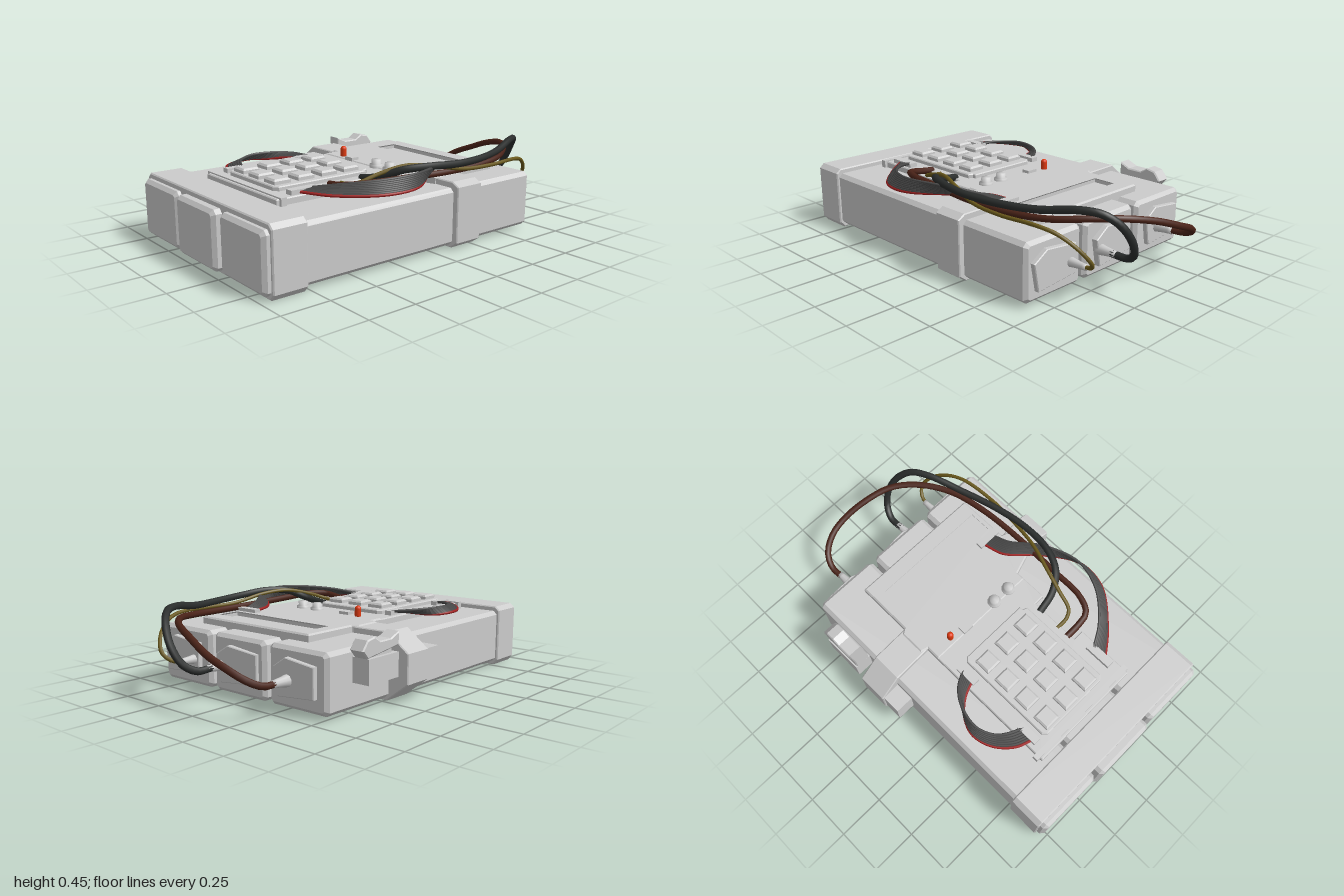
import * as THREE from 'three';

const GREY = 0xcccccc;
const mats = new Map();
function mat(color = GREY) {
  if (!mats.has(color)) {
    const m = new THREE.MeshStandardMaterial({ color, side: THREE.DoubleSide });
    mats.set(color, m);
  }
  return mats.get(color);
}

function add(parent, name, geo, color) {
  const m = new THREE.Mesh(geo, mat(color));
  m.name = name;
  parent.add(m);
  return m;
}

// Plain box given by its limits on each axis
function box(parent, name, [x0, x1], [y0, y1], [z0, z1], color) {
  const m = add(parent, name, new THREE.BoxGeometry(x1 - x0, y1 - y0, z1 - z0), color);
  m.position.set((x0 + x1) / 2, (y0 + y1) / 2, (z0 + z1) / 2);
  return m;
}

const polygon = pts => new THREE.Shape(pts.map(p => new THREE.Vector2(...p)));
const rect = (x0, x1, y0, y1) => [[x0, y0], [x1, y0], [x1, y1], [x0, y1]];

// Outline in x/y extruded along z with a single chamfer of size c
function prism(parent, name, pts, [z0, z1], c = 0) {
  const geo = new THREE.ExtrudeGeometry(polygon(pts), {
    depth: z1 - z0 - 2 * c, bevelEnabled: c > 0, bevelSize: c, bevelThickness: c,
    bevelOffset: -c, bevelSegments: 1
  });
  geo.translate(0, 0, z0 + c);
  return add(parent, name, geo);
}

// Outline in x/z extruded upward from y0 to y1, with optional holes
function slab(parent, name, pts, [y0, y1], c = 0, holes = []) {
  const shape = polygon(pts.map(([x, z]) => [x, -z]));
  holes.forEach(h => shape.holes.push(polygon(h.map(([x, z]) => [x, -z]))));
  const geo = new THREE.ExtrudeGeometry(shape, {
    depth: y1 - y0 - c, bevelEnabled: c > 0, bevelSize: c, bevelThickness: c,
    bevelOffset: -c, bevelSegments: 1
  });
  geo.rotateX(-Math.PI / 2).translate(0, y0, 0);
  return add(parent, name, geo);
}

const curve = pts => new THREE.CatmullRomCurve3(pts.map(p => new THREE.Vector3(...p)));

function wire(parent, name, pts, r, color) {
  return add(parent, name, new THREE.TubeGeometry(curve(pts), 64, r, 8), color);
}

// Flat cable: strands spread evenly between two edge paths, the first one red
function ribbon(parent, name, edgeA, edgeB, count) {
  const g = new THREE.Group();
  g.name = name;
  for (let i = 0; i < count; i++) {
    const t = i / (count - 1);
    const pts = edgeA.map((a, k) => a.map((v, j) => v + (edgeB[k][j] - v) * t));
    wire(g, 'ribbonStrand', pts, 0.0075, i === 0 ? 0xa02020 : 0x484848);
  }
  parent.add(g);
}

export function createModel() {
  const model = new THREE.Group();
  model.name = 'wiredKeypadDevice';

  // Three long chamfered blocks
  const blocks = [[-0.53, -0.165, 0.985], [-0.14, 0.22, 1.0], [0.245, 0.61, 0.985]];
  for (const [x0, x1, front] of blocks) {
    const c = 0.02, y0 = 0.02, y1 = 0.312;
    prism(model, 'block', [[x0 + c, y0], [x1 - c, y0], [x1, y0 + c], [x1, y1 - c],
      [x1 - c, y1], [x0 + c, y1], [x0, y1 - c], [x0, y0 + c]], [-0.68, front], 0.018);
  }

  // Straps around the blocks; the rear one bulges on the right and runs askew
  prism(model, 'frontStrap', [[-0.52, 0], [0.6, 0], [0.625, 0.03], [0.625, 0.315],
    [0.6, 0.338], [-0.52, 0.338], [-0.545, 0.315], [-0.545, 0.03]], [0.77, 0.95], 0.006);
  const rear = prism(model, 'rearStrap', [[-0.52, 0.005], [0.6, 0.005], [0.64, 0.035],
    [0.64, 0.32], [0.6, 0.343], [-0.52, 0.343], [-0.64, 0.25], [-0.64, 0.1]], [-0.255, -0.09], 0.005);
  const p = rear.geometry.attributes.position;
  for (let i = 0; i < p.count; i++) p.setZ(i, p.getZ(i) - 0.03 * p.getX(i));
  rear.geometry.computeVertexNormals();

  // Side switch housing with its clip
  const side = new THREE.Group();
  side.name = 'sideSwitch';
  model.add(side);
  box(side, 'sidePad', [-0.63, -0.53], [0.11, 0.25], [-0.08, 0.03]);
  box(side, 'switchBody', [-0.625, -0.53], [0.15, 0.27], [-0.51, -0.29]);
  box(side, 'switchNeck', [-0.605, -0.55], [0.25, 0.33], [-0.48, -0.32]);
  const clip = prism(side, 'switchLever', [[0.28, 0.3], [0.51, 0.27], [0.545, 0.31],
    [0.51, 0.355], [0.46, 0.365], [0.42, 0.34], [0.34, 0.34], [0.28, 0.365]], [-0.04, 0.04], 0.006);
  clip.rotation.y = Math.PI / 2;
  clip.position.x = -0.58;

  // Display panel with a sunken window
  slab(model, 'displayPanel', [[-0.31, -0.56], [0.44, -0.56], [0.44, -0.27], [0.49, -0.25],
    [0.49, -0.1], [0.34, -0.05], [0.34, 0.0], [-0.3, 0.0], [-0.3, -0.08], [-0.34, -0.09],
    [-0.34, -0.23], [-0.31, -0.25]], [0.29, 0.35], 0.008, [rect(-0.25, 0.42, -0.48, -0.34)]);
  box(model, 'displayWindow', [-0.27, 0.43], [0.3, 0.325], [-0.5, -0.32]);

  // Lower board, keypad plate and keys
  slab(model, 'lowerBoard', [[-0.3, -0.01], [0.34, -0.01], [0.34, 0.14], [0.28, 0.14],
    [0.28, 0.42], [0.34, 0.42], [0.34, 0.74], [-0.3, 0.74]], [0.29, 0.345], 0.005);
  box(model, 'boardRecess', [0.26, 0.33], [0.3, 0.325], [0.13, 0.43]);
  box(model, 'boardLip', [-0.32, 0.355], [0.31, 0.352], [0.695, 0.725]);
  slab(model, 'keypadPlate', [[-0.19, 0.1], [0.2, 0.1], [0.2, 0.12], [0.225, 0.13], [0.225, 0.65],
    [0.2, 0.67], [-0.19, 0.67], [-0.21, 0.65], [-0.21, 0.12]], [0.33, 0.367], 0.005);
  for (let r = 0; r < 4; r++) for (let k = 0; k < 3; k++) {
    const x = -0.135 + 0.14 * k, z = 0.197 + 0.137 * r;
    slab(model, 'key', rect(x - 0.046, x + 0.046, z - 0.046, z + 0.046), [0.36, 0.392], 0.009);
  }

  // Indicator lamp and two knobs
  const lamp = add(model, 'lamp', new THREE.CapsuleGeometry(0.017, 0.035, 6, 12), 0xe03a10);
  lamp.position.set(-0.175, 0.372, -0.04);
  box(model, 'smallSwitch', [-0.11, -0.05], [0.34, 0.365], [-0.045, 0.0]);
  for (const x of [0.13, 0.235]) {
    const knob = add(model, 'knob', new THREE.LatheGeometry([[0.036, 0], [0.036, 0.02], [0.025, 0.02],
      [0.025, 0.045], [0, 0.045]].map(v => new THREE.Vector2(...v)), 12));
    knob.position.set(x, 0.342, -0.02);
  }

  // Ribbon sockets
  for (const z of [0.17, 0.6]) box(model, 'leftSocket', [-0.275, -0.235], [0.33, 0.368], [z - 0.06, z + 0.06]);
  box(model, 'lowerRightSocket', [0.28, 0.325], [0.33, 0.368], [0.5, 0.65]);
  box(model, 'upperRightSocket', [0.3, 0.43], [0.33, 0.368], [-0.325, -0.285]);

  // Rear end plates with cable plugs
  const plugs = [[-0.47, -0.22, -0.31, 0.03, 0], [-0.1, 0.17, 0.135, 0.028, 0.05], [0.31, 0.58, 0.345, 0.024, 0]];
  for (const [x0, x1, px, r, tilt] of plugs) {
    const mid = (x0 + x1) / 2, h = (x1 - x0) / 2;
    const plate = prism(model, 'endPlate', [[-h, -0.07], [h * 0.8, -0.09], [h, 0.05],
      [h * 0.4, 0.1], [-h, 0.08]], [-0.02, 0.02], 0.004);
    plate.position.set(mid, 0.165, -0.685);
    plate.rotation.y = tilt;
    const plug = add(model, 'plug', new THREE.LatheGeometry([[0, 0], [r, 0], [r, 0.02], [r * 0.85, 0.04],
      [r * 0.65, 0.09], [r * 0.65, 0.11], [0, 0.11]].map(v => new THREE.Vector2(...v)), 10));
    plug.rotation.x = -Math.PI / 2;
    plug.position.set(px, 0.16, -0.69);
  }

  // Round wires from the plugs to the board
  wire(model, 'brownWire', [[-0.31, 0.16, -0.77], [-0.315, 0.165, -0.86], [-0.28, 0.2, -0.93],
    [-0.2, 0.25, -0.972], [-0.1, 0.29, -0.982], [0.05, 0.345, -0.955], [0.2, 0.38, -0.9], [0.32, 0.385, -0.8],
    [0.42, 0.37, -0.65], [0.47, 0.36, -0.45], [0.485, 0.36, -0.2], [0.475, 0.37, 0.1],
    [0.465, 0.375, 0.28], [0.42, 0.37, 0.37], [0.34, 0.355, 0.385], [0.26, 0.345, 0.385]], 0.017, 0x4a2318);
  wire(model, 'blackWire', [[0.135, 0.16, -0.77], [0.135, 0.16, -0.86], [0.165, 0.2, -0.92],
    [0.21, 0.28, -0.945], [0.27, 0.37, -0.925], [0.33, 0.425, -0.87], [0.38, 0.435, -0.78],
    [0.45, 0.41, -0.6], [0.51, 0.405, -0.4], [0.54, 0.41, -0.2], [0.525, 0.42, -0.02],
    [0.47, 0.41, 0.1], [0.38, 0.37, 0.165], [0.26, 0.345, 0.19]], 0.019, 0x2a2d2c);
  wire(model, 'yellowWire', [[0.345, 0.16, -0.77], [0.355, 0.17, -0.83], [0.39, 0.21, -0.865],
    [0.44, 0.28, -0.835], [0.49, 0.345, -0.75], [0.525, 0.37, -0.65], [0.545, 0.37, -0.45],
    [0.53, 0.375, -0.25], [0.49, 0.41, -0.08], [0.44, 0.42, 0.06], [0.4, 0.39, 0.2],
    [0.375, 0.36, 0.29], [0.33, 0.345, 0.315], [0.26, 0.34, 0.315]], 0.01, 0x6b5a1c);

  // Ribbon cables on both sides
  ribbon(model, 'leftRibbon',
    [[-0.25, 0.355, 0.205], [-0.34, 0.35, 0.24], [-0.41, 0.342, 0.3], [-0.455, 0.345, 0.4],
      [-0.43, 0.345, 0.51], [-0.35, 0.35, 0.6], [-0.25, 0.355, 0.64]],
    [[-0.25, 0.36, 0.135], [-0.34, 0.37, 0.19], [-0.4, 0.375, 0.28], [-0.42, 0.375, 0.4],
      [-0.38, 0.37, 0.49], [-0.33, 0.37, 0.53], [-0.25, 0.36, 0.565]], 7);
  ribbon(model, 'rightRibbon',
    [[0.33, 0.355, -0.29], [0.36, 0.36, -0.18], [0.5, 0.36, -0.03], [0.615, 0.355, 0.15],
      [0.6, 0.35, 0.32], [0.45, 0.345, 0.5], [0.305, 0.355, 0.61]],
    [[0.4, 0.36, -0.29], [0.425, 0.38, -0.2], [0.53, 0.41, -0.04], [0.59, 0.415, 0.16],
      [0.545, 0.405, 0.32], [0.42, 0.385, 0.46], [0.305, 0.36, 0.53]], 9);

  return model;
}
